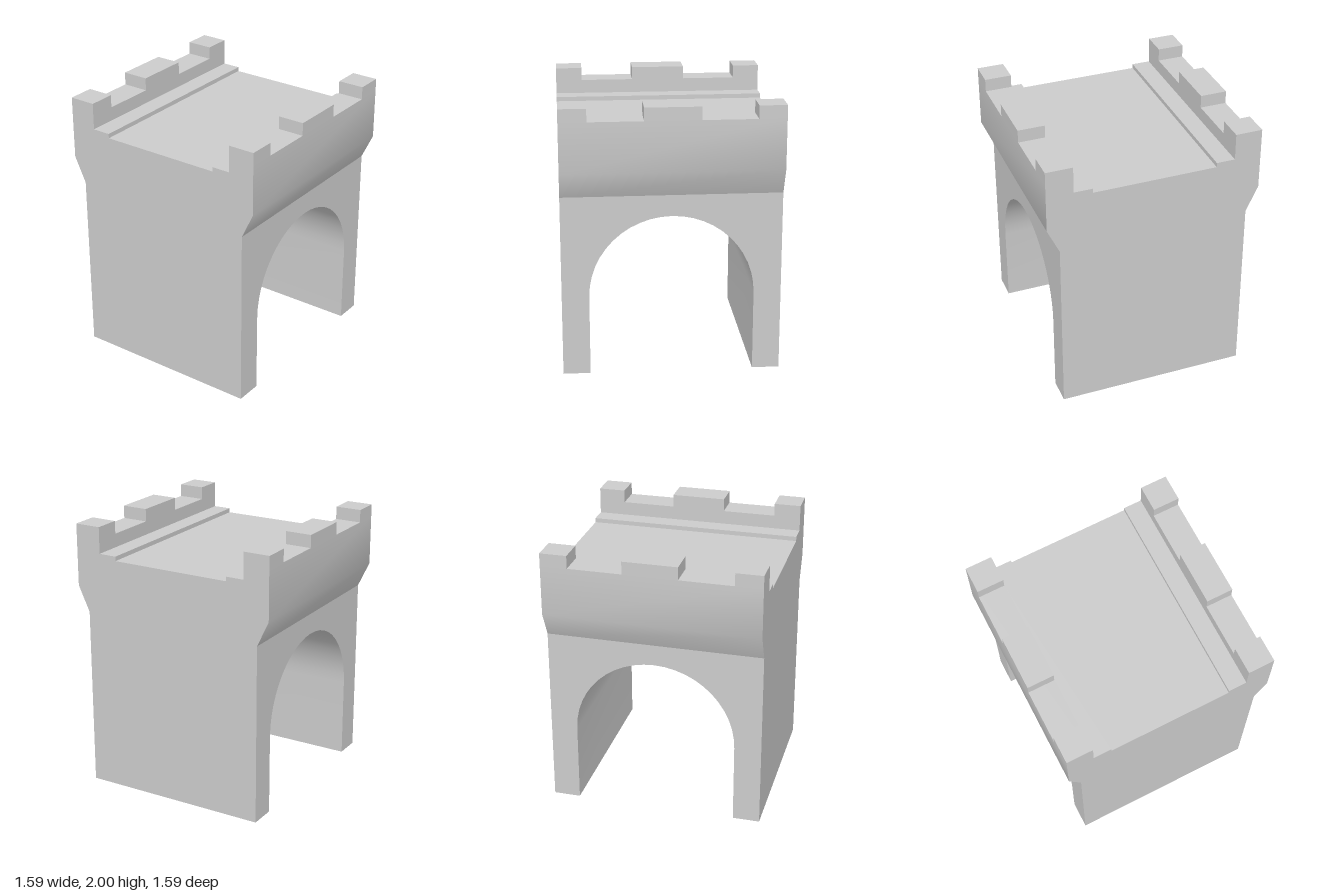
import * as THREE from 'three';
import { toCreasedNormals } from 'three/addons/utils/BufferGeometryUtils.js';

const HALF = 0.793;      // half width, and half depth of the parapets
const WALL_Z = 0.704;    // half depth of the lower walls
const ARCH_R = 0.595;    // arch radius, also the inner face of the parapets
const SPRING_Y = 0.595;  // height where the arch starts
const LEDGE_Y = 1.345;   // foot of the sloping corbel
const PARAPET_Y = 1.905; // parapet top between the merlons
const TOP_Y = 2;

const material = new THREE.MeshStandardMaterial({ color: 0xcccccc });

function addMesh(parent, name, geometry) {
  const mesh = new THREE.Mesh(geometry, material);
  mesh.name = name;
  parent.add(mesh);
  return mesh;
}

// Extrudes a shape along z, centred on z = 0
function extrudeCentred(shape, depth) {
  const geometry = new THREE.ExtrudeGeometry(shape, { depth, bevelEnabled: false, curveSegments: 12 });
  geometry.translate(0, 0, -depth / 2);
  return toCreasedNormals(geometry, 0.5);
}

export function createModel() {
  const model = new THREE.Group();
  model.name = 'gatehouse';

  // Lower walls with the arched passage
  const arch = new THREE.Shape();
  arch.moveTo(ARCH_R, 0);
  arch.lineTo(HALF, 0);
  arch.lineTo(HALF, LEDGE_Y);
  arch.lineTo(-HALF, LEDGE_Y);
  arch.lineTo(-HALF, 0);
  arch.lineTo(-ARCH_R, 0);
  arch.lineTo(-ARCH_R, SPRING_Y);
  arch.absarc(0, SPRING_Y, ARCH_R, Math.PI, 0, true);
  addMesh(model, 'archedWalls', extrudeCentred(arch, WALL_Z * 2));

  // Upper part: corbels, parapets, steps and sunken walkway as one side profile
  const half = [
    [WALL_Z, LEDGE_Y], [HALF, 1.535], [HALF, PARAPET_Y], [ARCH_R, PARAPET_Y],
    [ARCH_R, 1.803], [0.458, 1.803], [0.458, 1.77],
  ];
  const mirrored = half.map(([z, y]) => [-z, y]).reverse();
  const profile = new THREE.Shape([...half, ...mirrored].map(([z, y]) => new THREE.Vector2(z, y)));
  const upper = extrudeCentred(profile, HALF * 2);
  upper.rotateY(Math.PI / 2);
  addMesh(model, 'parapetsAndWalkway', upper);

  // Merlons: two at the corners and a wide one in the middle, front and back
  const corner = HALF - ARCH_R;
  const cornerX = (HALF + ARCH_R) / 2;
  for (const [side, sign] of [['front', 1], ['back', -1]]) {
    for (const [place, x, width] of [['Left', cornerX, corner], ['Middle', 0, 0.4], ['Right', -cornerX, corner]]) {
      const merlon = addMesh(model, `${side}${place}Merlon`, new THREE.BoxGeometry(width, TOP_Y - PARAPET_Y, corner));
      merlon.position.set(x, (TOP_Y + PARAPET_Y) / 2, sign * cornerX);
    }
  }
  return model;
}
